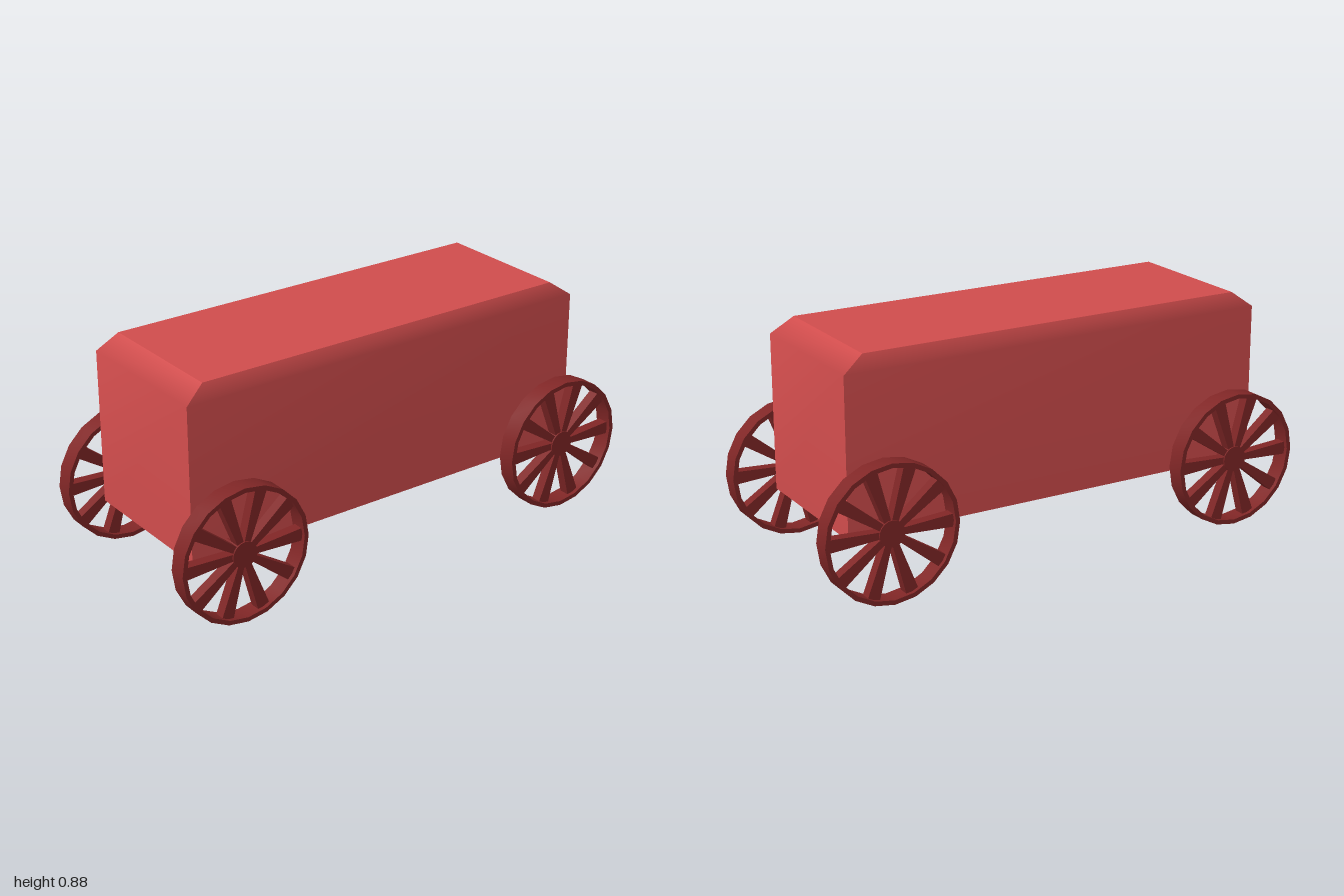
import * as THREE from 'three';
import { toCreasedNormals } from 'three/addons/utils/BufferGeometryUtils.js';

const red = new THREE.MeshStandardMaterial({ color: 0xd04c4c });
const darkRed = new THREE.MeshStandardMaterial({ color: 0x802626 });

function addMesh(parent, name, geometry, material) {
  const mesh = new THREE.Mesh(geometry, material);
  mesh.name = name;
  parent.add(mesh);
  return mesh;
}

// Strip of quads between rows of two corners, with normals smoothed inside the strip
function strip(rows) {
  const geometry = new THREE.BufferGeometry();
  geometry.setAttribute('position', new THREE.Float32BufferAttribute(rows.flat(2), 3));
  const index = [];
  for (let i = 0; i < rows.length - 1; i++) {
    const a = i * 2;
    index.push(a, a + 1, a + 3, a, a + 3, a + 2);
  }
  geometry.setIndex(index);
  geometry.computeVertexNormals();
  return geometry;
}

// Rectangular corners, anticlockwise seen from above, starting at the front left end
const corners = (x0, x1, z, y) => [[x0, y, z], [x1, y, z], [x1, y, -z], [x0, y, -z]];

function createBody() {
  const body = new THREE.Group();
  body.name = 'body';
  const floor = corners(-0.88, 0.85, 0.3, 0.22);
  const shoulder = corners(-0.88, 0.85, 0.3, 0.82);
  const roof = corners(-0.8, 0.765, 0.275, 0.88);
  // Each wall blends into its roof bevel
  ['frontWall', 'leftWall', 'backWall', 'rightWall'].forEach((name, i) => {
    const j = (i + 1) % 4;
    addMesh(body, name, strip([floor, shoulder, roof].map((r) => [r[i], r[j]])), red);
  });
  addMesh(body, 'roof', strip([[roof[0], roof[1]], [roof[3], roof[2]]]), red);
  addMesh(body, 'floor', strip([[floor[3], floor[2]], [floor[0], floor[1]]]), red);
  return body;
}

const R = 0.262, INNER = 0.245, WIDTH = 0.07, SPOKES = 10;

function createWheel() {
  const wheel = new THREE.Group();
  wheel.name = 'wheel';

  // Rim: rectangular section turned about the axle
  const h = WIDTH / 2;
  const section = [[INNER, -h], [R, -h], [R, h], [INNER, h], [INNER, -h]].map((p) => new THREE.Vector2(...p));
  const rim = toCreasedNormals(new THREE.LatheGeometry(section, 20).rotateX(Math.PI / 2), 0.6);
  addMesh(wheel, 'rim', rim, darkRed);

  const hub = new THREE.CylinderGeometry(0.05, 0.05, 0.05, 20).rotateX(Math.PI / 2);
  addMesh(wheel, 'hub', hub, darkRed);

  // Spokes widen towards the rim
  const outline = new THREE.Shape([[0.03, -0.012], [0.25, -0.025], [0.25, 0.025], [0.03, 0.012]].map((p) => new THREE.Vector2(...p)));
  const spoke = new THREE.ExtrudeGeometry(outline, { depth: 0.04, bevelEnabled: false }).translate(0, 0, -0.02);
  for (let i = 0; i < SPOKES; i++) {
    addMesh(wheel, 'spoke', spoke, darkRed).rotation.z = (i / SPOKES) * Math.PI * 2;
  }
  return wheel;
}

export function createModel() {
  const model = new THREE.Group();
  model.name = 'wagon';
  model.add(createBody());

  // Two axles, each with a wheel at both ends
  for (const x of [-0.736, 0.736]) {
    const axle = new THREE.CylinderGeometry(0.011, 0.011, 0.76, 12).rotateX(Math.PI / 2);
    addMesh(model, 'axle', axle, darkRed).position.set(x, 0.267, 0);
    for (const z of [-0.39, 0.39]) {
      const wheel = createWheel();
      wheel.position.set(x, R, z);
      model.add(wheel);
    }
  }
  return model;
}
